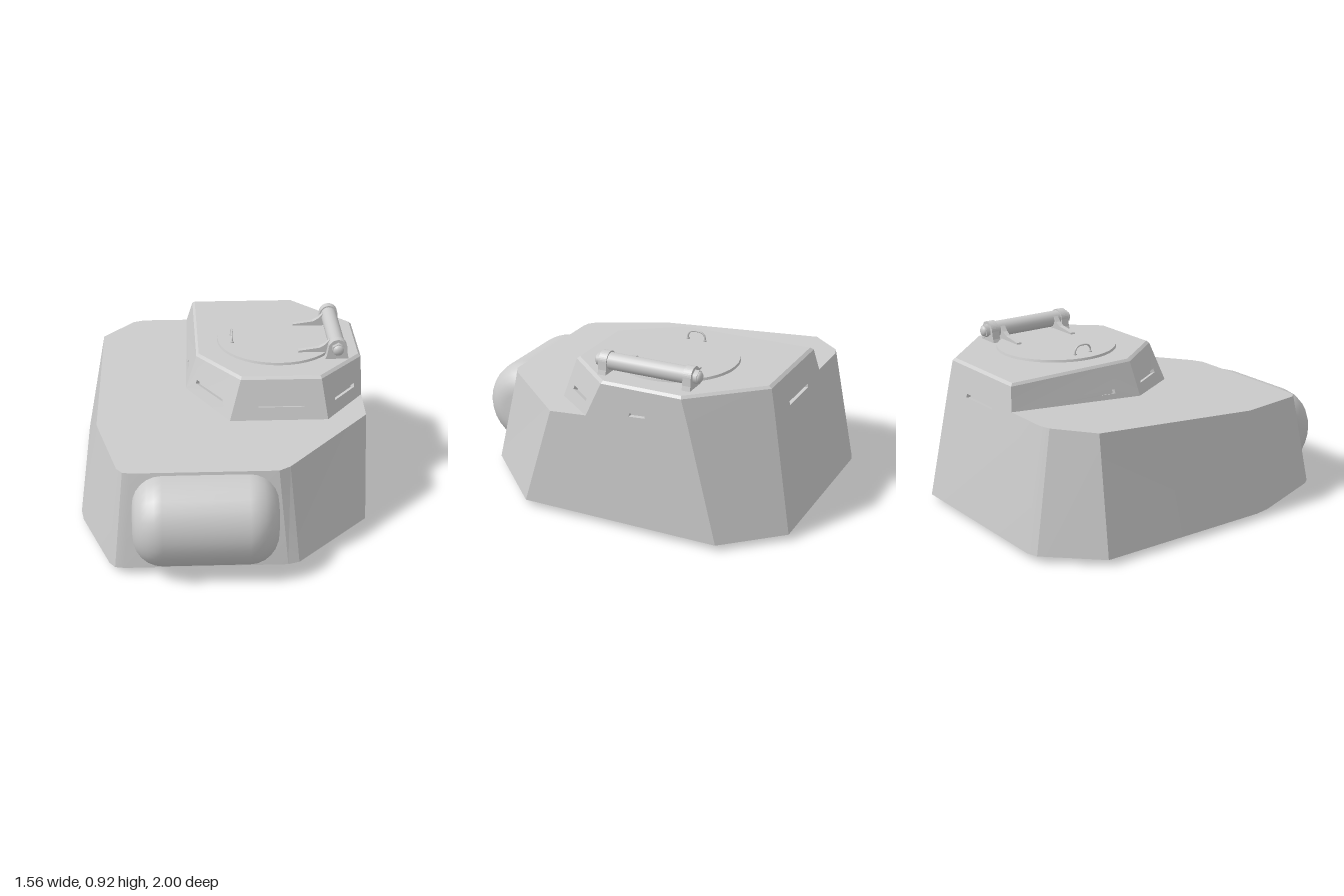
import * as THREE from 'three';
import { mergeGeometries, toCreasedNormals } from 'three/addons/utils/BufferGeometryUtils.js';

const grey = new THREE.MeshStandardMaterial({ color: 0xcccccc });
const greyDouble = new THREE.MeshStandardMaterial({ color: 0xcccccc, side: THREE.DoubleSide });
const greyInside = new THREE.MeshStandardMaterial({ color: 0xcccccc, side: THREE.BackSide });
const V = (x, y, z) => new THREE.Vector3(x, y, z);

// height of the sloping hull roof
const roofY = (z) => 0.545 + 0.077 * (0.745 - z);

function add(parent, name, geometry, material = grey) {
  const mesh = new THREE.Mesh(geometry, material);
  mesh.name = name;
  parent.add(mesh);
  return mesh;
}

// Bend a unit-square geometry (u, v, depth) onto the wall a-b (bottom), ta-tb (top)
function mapToWall(geometry, a, b, ta, tb) {
  const g = geometry.index ? geometry.toNonIndexed() : geometry;
  const n = b.clone().sub(a).cross(ta.clone().sub(a)).normalize();
  const p = g.attributes.position;
  for (let i = 0; i < p.count; i++) {
    const u = p.getX(i), v = p.getY(i);
    const q = a.clone().lerp(b, u).lerp(ta.clone().lerp(tb, u), v).addScaledVector(n, p.getZ(i));
    p.setXYZ(i, q.x, q.y, q.z);
  }
  g.deleteAttribute('uv');
  g.computeVertexNormals();
  return g;
}

function rectPath(Type, u0, u1, v0, v1) {
  return new Type([[u0, v0], [u1, v0], [u1, v1], [u0, v1]].map((p) => new THREE.Vector2(...p)));
}

// Flat convex cap, a fan around its middle
function cap(ring, up) {
  const mid = ring.reduce((s, p) => s.add(p), V(0, 0, 0)).divideScalar(ring.length);
  const pts = [];
  ring.forEach((p, i) => {
    const q = ring[(i + 1) % ring.length];
    pts.push(mid, ...(up ? [p, q] : [q, p]));
  });
  const g = new THREE.BufferGeometry().setFromPoints(pts);
  g.computeVertexNormals();
  return g;
}

// Walls between successive rings; slots = { wallIndex: [u0, u1, v0, v1] } in the first band
function buildShell(name, rings, slots, closeBottom) {
  const group = new THREE.Group();
  group.name = name;
  const parts = [cap(rings[rings.length - 1], true)];
  if (closeBottom) parts.push(cap(rings[0], false));
  for (let k = 0; k + 1 < rings.length; k++) {
    const lo = rings[k], hi = rings[k + 1];
    lo.forEach((a, i) => {
      const j = (i + 1) % lo.length;
      const corners = [a, lo[j], hi[i], hi[j]];
      const shape = rectPath(THREE.Shape, 0, 1, 0, 1);
      const slot = k === 0 && slots[i];
      if (slot) {
        shape.holes.push(rectPath(THREE.Path, ...slot));
        const recess = new THREE.ExtrudeGeometry(rectPath(THREE.Shape, ...slot), { depth: 0.025, bevelEnabled: false });
        recess.translate(0, 0, -0.025);
        add(group, 'visionSlot', mapToWall(recess, ...corners), greyInside);
      }
      parts.push(mapToWall(new THREE.ShapeGeometry(shape), ...corners));
    });
  }
  add(group, name + 'Shell', toCreasedNormals(mergeGeometries(parts), 0.45));
  return group;
}

// Extrude an x-y profile along z, centred on z
function plate(shape, z, thickness) {
  const g = new THREE.ExtrudeGeometry(shape, { depth: thickness, bevelEnabled: false, curveSegments: 10 });
  return g.translate(0, 0, z - thickness / 2);
}

export function createModel() {
  const model = new THREE.Group();
  model.name = 'turret';

  // Hull: bottom x, z and roof x, z of each corner
  const hull = [
    [-0.61, 0.78, -0.56, 0.70], [-0.58, 0.82, -0.53, 0.735], [-0.53, 0.83, -0.49, 0.745],
    [0.32, 0.83, 0.27, 0.745], [0.38, 0.81, 0.33, 0.71], [0.78, 0.40, 0.78, 0.23],
    [0.78, -0.71, 0.78, -0.555], [0.51, -1, 0.468, -0.884], [-0.47, -1, -0.43, -0.884],
    [-0.53, -0.98, -0.49, -0.865], [-0.78, -0.72, -0.665, -0.69],
    [-0.78, 0.26, -0.675, 0.28], [-0.765, 0.35, -0.66, 0.34],
  ];
  model.add(buildShell('hull', [
    hull.map(([x, z]) => V(x, 0.03, z)),
    hull.map(([, , x, z]) => V(x, roofY(z), z)),
  ], { 7: [0.22, 0.51, 0.948, 0.978] }, true));

  // Cupola: foot x, z and top x, z of each corner
  const cupola = [
    [-0.19, -0.08, -0.13, -0.105], [0.04, 0.27, 0.10, 0.205], [0.57, 0.27, 0.535, 0.205],
    [0.78, 0.02, 0.78, -0.07], [0.78, -0.555, 0.78, -0.515],
    [0.468, -0.884, 0.46, -0.86], [-0.17, -0.884, -0.135, -0.86],
  ];
  model.add(buildShell('cupola', [
    cupola.map(([x, z]) => V(x, roofY(z), z)),
    cupola.map(([, , x, z]) => V(x, 0.793, z)),
    cupola.map(([, , x, z]) => V(0.33 + (x - 0.33) * 0.97, 0.806, -0.33 + (z + 0.33) * 0.97)),
  ], {
    0: [0.16, 0.76, 0.30, 0.40], 1: [0.27, 0.77, 0.32, 0.42], 2: [0.25, 0.80, 0.32, 0.42],
    3: [0.42, 0.58, 0.14, 0.25], 6: [0.70, 0.81, 0.16, 0.29],
  }, false));

  // Turret ring under the floor
  const ring = add(model, 'turretRing', new THREE.CylinderGeometry(0.605, 0.605, 0.03, 20, 1, true), greyDouble);
  ring.position.set(0, 0.015, -0.055);

  // Rounded gun mantlet, turned about the x axis
  const profile = [new THREE.Vector2(0, -0.3775)];
  for (const side of [-1, 1]) {
    for (let i = 0; i <= 6; i++) {
      const t = (side < 0 ? i : 6 - i) / 6 * Math.PI / 2;
      profile.push(new THREE.Vector2(0.094 + 0.155 * Math.sin(t), side * (0.2225 + 0.155 * Math.cos(t))));
    }
  }
  profile.push(new THREE.Vector2(0, 0.3775));
  const mantlet = add(model, 'mantlet', new THREE.LatheGeometry(profile, 28).rotateZ(-Math.PI / 2));
  mantlet.position.set(-0.1075, 0.28, 0.75);

  // Hatch lid and its grab handle
  const hatch = add(model, 'hatch', new THREE.CylinderGeometry(0.33, 0.335, 0.018, 40));
  hatch.position.set(0.325, 0.81, -0.275);
  const grip = new THREE.CatmullRomCurve3([
    V(0.075, 0.81, -0.32), V(0.075, 0.845, -0.318), V(0.075, 0.864, -0.3),
    V(0.075, 0.864, -0.24), V(0.075, 0.845, -0.222), V(0.075, 0.81, -0.22),
  ]);
  add(model, 'hatchHandle', new THREE.TubeGeometry(grip, 20, 0.005, 6));
  for (const z of [-0.32, -0.22]) {
    add(model, 'handleFoot', new THREE.CylinderGeometry(0.01, 0.01, 0.008, 8)).position.set(0.075, 0.822, z);
  }

  // Hinge: barrel, brackets, bolts and hatch arms
  const hinge = new THREE.Group();
  hinge.name = 'hinge';
  model.add(hinge);
  const hx = 0.645, hy = 0.866, hz = -0.27;
  add(hinge, 'hingeBarrel', new THREE.CylinderGeometry(0.045, 0.045, 0.43, 20).rotateX(Math.PI / 2)).position.set(hx, hy, hz);
  const bracket = new THREE.Shape();
  bracket.moveTo(0.575, 0.8).lineTo(0.708, 0.8).lineTo(0.7, 0.83).lineTo(hx + 0.052, hy);
  bracket.absarc(hx, hy, 0.052, 0, Math.PI).lineTo(0.585, 0.825);
  const arm = new THREE.Shape([
    [0.43, 0.812], [0.63, 0.812], [0.645, 0.866], [0.605, 0.89], [0.58, 0.862], [0.55, 0.844], [0.435, 0.828],
  ].map((p) => new THREE.Vector2(...p)));
  for (const s of [-1, 1]) {
    add(hinge, 'hingeBracket', plate(bracket, hz + s * 0.235, 0.045));
    add(hinge, 'hingeArm', plate(arm, hz + s * 0.18, 0.028));
    const nut = add(hinge, 'hingeNut', new THREE.CylinderGeometry(0.037, 0.037, 0.025, 6).rotateX(Math.PI / 2));
    nut.position.set(hx, hy, hz + s * 0.268);
    const dome = add(hinge, 'boltEnd', new THREE.SphereGeometry(0.03, 14, 8));
    dome.scale.z = 0.6;
    dome.position.set(hx, hy, hz + s * 0.28);
  }
  return model;
}
